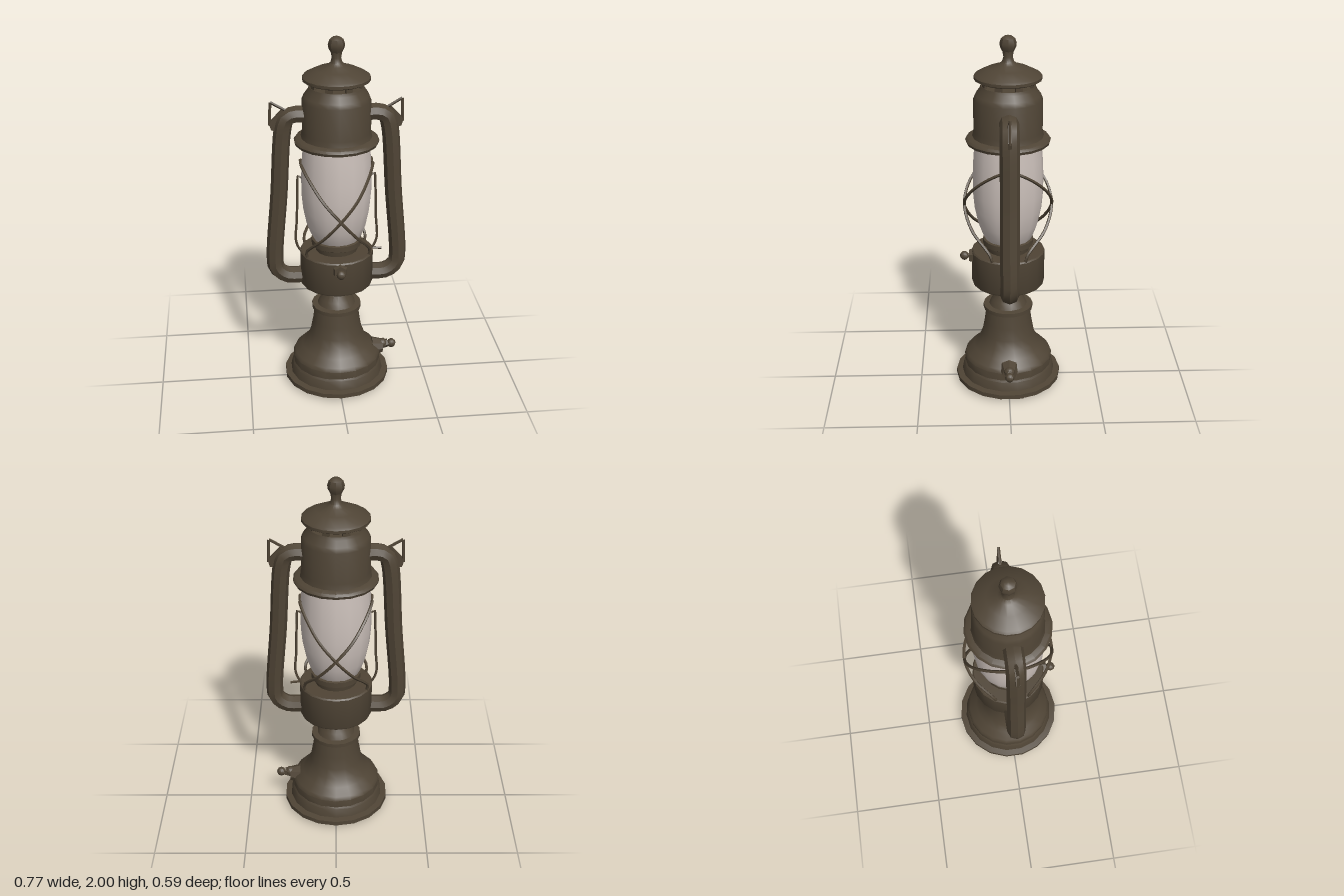
import * as THREE from 'three';
import { toCreasedNormals } from 'three/addons/utils/BufferGeometryUtils.js';

export function createModel() {
  const model = new THREE.Group();
  model.name = 'lantern';
  const metal = new THREE.MeshStandardMaterial({ color: 0x4f4435 });
  metal.name = 'bronze metal';
  const glass = new THREE.MeshStandardMaterial({ color: 0xcbc0ba });
  glass.name = 'frosted glass';

  const v = (x, y, z) => new THREE.Vector3(x, y, z);
  function add(name, geometry, material = metal, x = 0, y = 0, z = 0) {
    const mesh = new THREE.Mesh(toCreasedNormals(geometry, 0.6), material);
    mesh.name = name;
    mesh.position.set(x, y, z);
    model.add(mesh);
    return mesh;
  }
  // Turned part from [radius, height] pairs, bottom to top
  const lathe = (name, profile, material, sides = 18) =>
    add(name, new THREE.LatheGeometry(profile.map(p => new THREE.Vector2(...p)), sides), material);
  // Bent rod through a few points
  const rod = (name, points, radius, steps = 16, sides = 5) =>
    add(name, new THREE.TubeGeometry(new THREE.CatmullRomCurve3(points, false, 'centripetal'), steps, radius, sides));
  // Straight wire between two points
  const bar = (name, a, b, radius) =>
    add(name, new THREE.TubeGeometry(new THREE.LineCurve3(a, b), 1, radius, 5));

  // Bell-shaped base with its foot plate and neck
  lathe('base', [
    [0, 0.02], [0.295, 0.02], [0.295, 0.045], [0.262, 0.05], [0.252, 0.1], [0.245, 0.11],
    [0.247, 0.155], [0.235, 0.175], [0.195, 0.21], [0.165, 0.25], [0.145, 0.3], [0.132, 0.37],
    [0.122, 0.445], [0.137, 0.45], [0.137, 0.472], [0.105, 0.475], [0.09, 0.505], [0.062, 0.545],
    [0.06, 0.575], [0.076, 0.582], [0.076, 0.605], [0.065, 0.625],
  ]);
  for (let i = 0; i < 4; i++) {
    const a = Math.PI / 4 + i * Math.PI / 2 + 0.5;
    add('foot', new THREE.CylinderGeometry(0.014, 0.012, 0.024, 6), metal,
      0.255 * Math.cos(a), 0.012, 0.255 * Math.sin(a));
  }

  // Filler spout with a thumb screw on the base's left side
  add('spoutCollar', new THREE.CylinderGeometry(0.04, 0.055, 0.06, 8), metal, 0.235, 0.165, 0)
    .rotation.z = -Math.PI / 2;
  bar('spoutStem', v(0.23, 0.16, 0), v(0.3, 0.182, 0), 0.024);
  add('spoutKnob', new THREE.IcosahedronGeometry(0.03, 1), metal, 0.265, 0.18, 0);
  add('spoutScrew', new THREE.SphereGeometry(0.026, 8, 6), metal, 0.318, 0.178, 0);

  // Fuel tank, burner collar and wick knob
  lathe('tank', [[0, 0.615], [0.195, 0.615], [0.2, 0.625], [0.2, 0.805], [0.193, 0.812], [0, 0.815]]);
  lathe('burnerCollar', [
    [0.115, 0.81], [0.12, 0.84], [0.137, 0.85], [0.137, 0.88], [0.12, 0.885], [0, 0.885],
  ]);
  add('knobPlate', new THREE.CylinderGeometry(0.035, 0.045, 0.03, 6), metal, 0, 0.77, 0.2)
    .rotation.x = Math.PI / 2;
  add('knobStem', new THREE.CylinderGeometry(0.014, 0.014, 0.06, 6), metal, 0, 0.77, 0.22)
    .rotation.x = Math.PI / 2;
  add('wickKnob', new THREE.SphereGeometry(0.025, 8, 6), metal, 0, 0.77, 0.24);

  // Glass chimney
  lathe('chimney', [
    [0.118, 0.87], [0.14, 0.91], [0.162, 0.97], [0.18, 1.06], [0.188, 1.15],
    [0.188, 1.25], [0.183, 1.35], [0.174, 1.45],
  ], glass, 16);

  // Upper hood with its rim
  lathe('hood', [
    [0, 1.435], [0.22, 1.435], [0.225, 1.45], [0.215, 1.462], [0.188, 1.47], [0.181, 1.5],
    [0.18, 1.67], [0.17, 1.695], [0.148, 1.725], [0.142, 1.742], [0, 1.742],
  ]);
  // Vent posts beneath the cap
  for (let i = 0; i < 8; i++) {
    const a = (i + 0.5) * Math.PI / 4;
    add('ventPost', new THREE.BoxGeometry(0.012, 0.05, 0.038), metal,
      0.132 * Math.cos(a), 1.757, 0.132 * Math.sin(a)).rotation.y = -a;
  }
  // Cap and finial
  lathe('cap', [
    [0, 1.772], [0.165, 1.77], [0.177, 1.777], [0.177, 1.792], [0.165, 1.802],
    [0.105, 1.832], [0.05, 1.85], [0.032, 1.865], [0.024, 1.89], [0.03, 1.925],
  ]);
  lathe('finial', [
    [0.028, 1.915], [0.041, 1.94], [0.044, 1.96], [0.036, 1.985], [0.02, 1.997], [0, 2],
  ], metal, 8);

  for (const s of [1, -1]) {
    // Side air tube
    rod('sideTube', [
      v(s * 0.14, 1.592, 0), v(s * 0.22, 1.595, 0), v(s * 0.262, 1.575, 0), v(s * 0.28, 1.52, 0),
      v(s * 0.308, 1.15, 0), v(s * 0.338, 0.77, 0), v(s * 0.33, 0.71, 0), v(s * 0.275, 0.664, 0),
      v(s * 0.17, 0.66, 0),
    ], 0.046, 36, 8).scale.z = 1.1;

    // Triangular carrying ear and its plate
    const tip = v(s * 0.342, 1.665, 0);
    bar('earTop', tip, v(s * 0.25, 1.61, 0), 0.008);
    bar('earSide', tip, v(s * 0.348, 1.54, 0), 0.008);
    bar('earBottom', v(s * 0.348, 1.54, 0), v(s * 0.27, 1.58, 0), 0.008);
    const plate = new THREE.Shape([
      [0.25, 1.6], [0.285, 1.622], [0.335, 1.57], [0.35, 1.55], [0.34, 1.515], [0.28, 1.5],
    ].map(([x, y]) => new THREE.Vector2(s * x, y)));
    add('earPlate', new THREE.ExtrudeGeometry(plate, { depth: 0.02, bevelEnabled: false }), metal, 0, 0, -0.01);

    // Upright wire beside the chimney
    rod('uprightWire', [
      v(s * 0.185, 1.24, 0), v(s * 0.205, 1.25, 0), v(s * 0.209, 1.2, 0), v(s * 0.215, 1.0, 0),
      v(s * 0.222, 0.87, 0), v(s * 0.205, 0.82, 0), v(s * 0.19, 0.8, 0),
    ], 0.007, 20);

    // Crossed guard wires, front and back
    for (const f of [1, -1]) {
      rod('guardWire', [
        v(s * 0.18, 1.29, 0), v(s * 0.192, 1.325, f * 0.02), v(s * 0.165, 1.285, f * 0.105),
        v(s * 0.09, 1.18, f * 0.205), v(0, 1.075, f * 0.235), v(s * -0.09, 0.96, f * 0.195),
        v(s * -0.155, 0.875, f * 0.12), v(s * -0.172, 0.84, f * 0.095), v(s * -0.165, 0.8, f * 0.09),
      ], 0.0085, 28);
    }
  }
  // Small lever at the foot of the left wire
  bar('lever', v(0.17, 0.808, 0), v(0.25, 0.798, 0), 0.007);

  return model;
}
